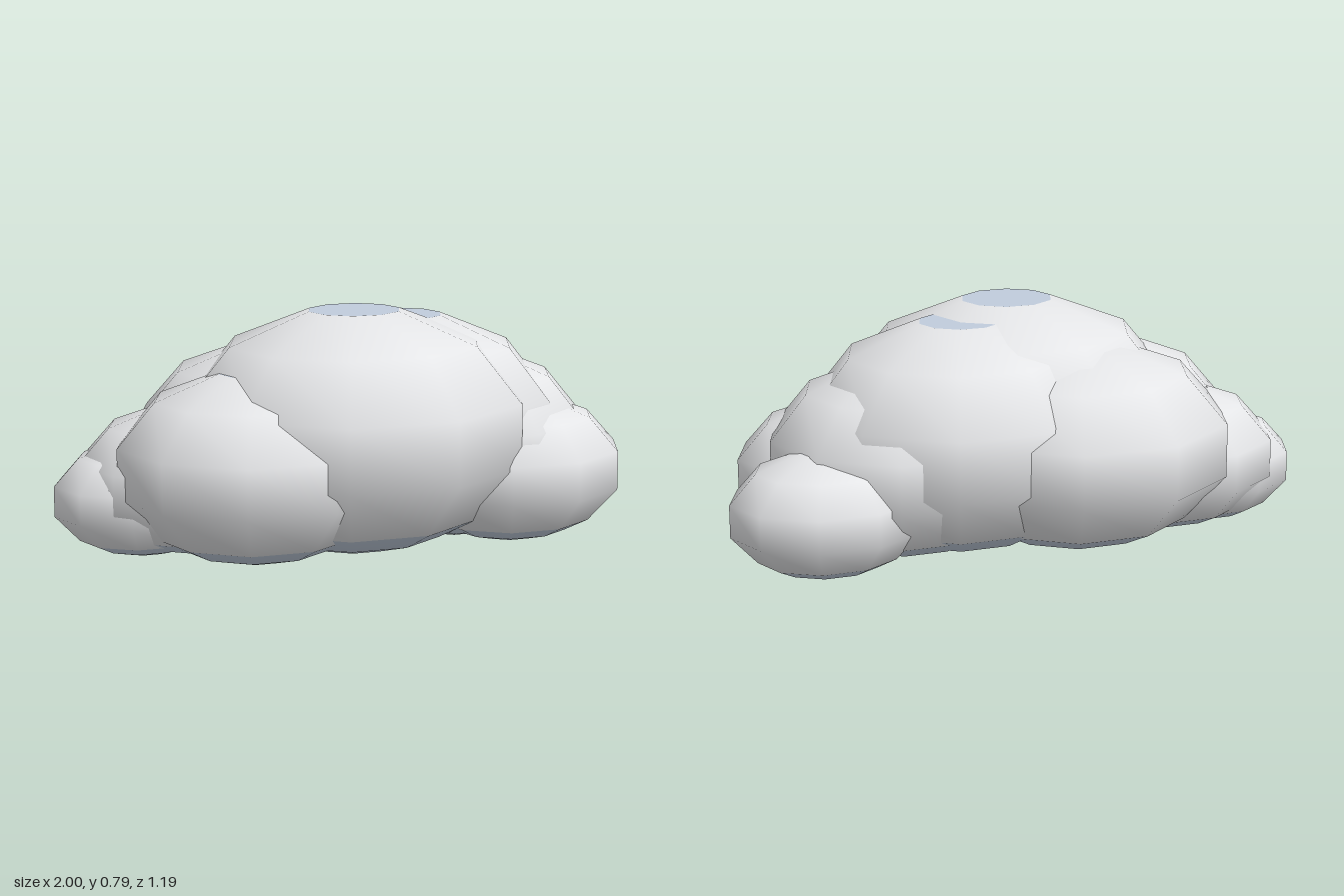
import * as THREE from 'three';
import { mergeGeometries } from 'three/addons/utils/BufferGeometryUtils.js';

const SIDES = 10;
const STEP = Math.PI / 6; // angle between rings
const CAP = Math.PI / 12; // polar angle of the flat caps

// name, centre (x, y, z), radii (x, y, z)
const PUFFS = [
  ['mainPuff', -0.02, 0.397, 0.08, 0.6, 0.407, 0.555],
  ['rightTopPuff', 0.18, 0.378, -0.03, 0.54, 0.386, 0.513],
  ['rightMiddlePuff', 0.37, 0.315, -0.02, 0.47, 0.323, 0.45],
  ['backPuff', -0.19, 0.335, -0.12, 0.535, 0.342, 0.522],
  ['frontSidePuff', -0.37, 0.308, 0.14, 0.476, 0.315, 0.447],
  ['frontCornerPuff', 0.52, 0.242, 0.125, 0.393, 0.248, 0.344],
  ['backCornerPuff', 0.68, 0.202, -0.19, 0.331, 0.207, 0.274],
  ['smallEndPuff', -0.7, 0.187, -0.05, 0.311, 0.193, 0.265],
  ['backSidePuff', -0.54, 0.242, -0.05, 0.393, 0.248, 0.375],
];

// A band of rings on a unit sphere, between two polar angles
function bands(start, count) {
  return new THREE.SphereGeometry(1, SIDES, count, 0, Math.PI * 2, start, count * STEP);
}

// Flat disc closing the top (1) or bottom (-1)
function cap(side) {
  return new THREE.CircleGeometry(Math.sin(CAP), SIDES)
    .rotateX(-side * Math.PI / 2)
    .translate(0, side * Math.cos(CAP), 0);
}

export function createModel() {
  const white = new THREE.MeshStandardMaterial({ color: 0xeeeff1 });
  white.name = 'cloudWhite';
  const shade = new THREE.MeshStandardMaterial({ color: 0xc0ccdc });
  shade.name = 'cloudShade';

  const bodyGeometry = bands(CAP, 4);
  // Underside band and both flat caps
  const shadeGeometry = mergeGeometries([bands(CAP + 4 * STEP, 1), cap(1), cap(-1)]);

  const cloud = new THREE.Group();
  cloud.name = 'cloud';
  for (const [name, x, y, z, rx, ry, rz] of PUFFS) {
    const puff = new THREE.Group();
    puff.name = name;
    puff.position.set(x, y, z);
    puff.scale.set(rx, ry, rz);
    const body = new THREE.Mesh(bodyGeometry, white);
    body.name = 'puffBody';
    const under = new THREE.Mesh(shadeGeometry, shade);
    under.name = 'puffCapsAndUnderside';
    puff.add(body, under);
    cloud.add(puff);
  }
  return cloud;
}
